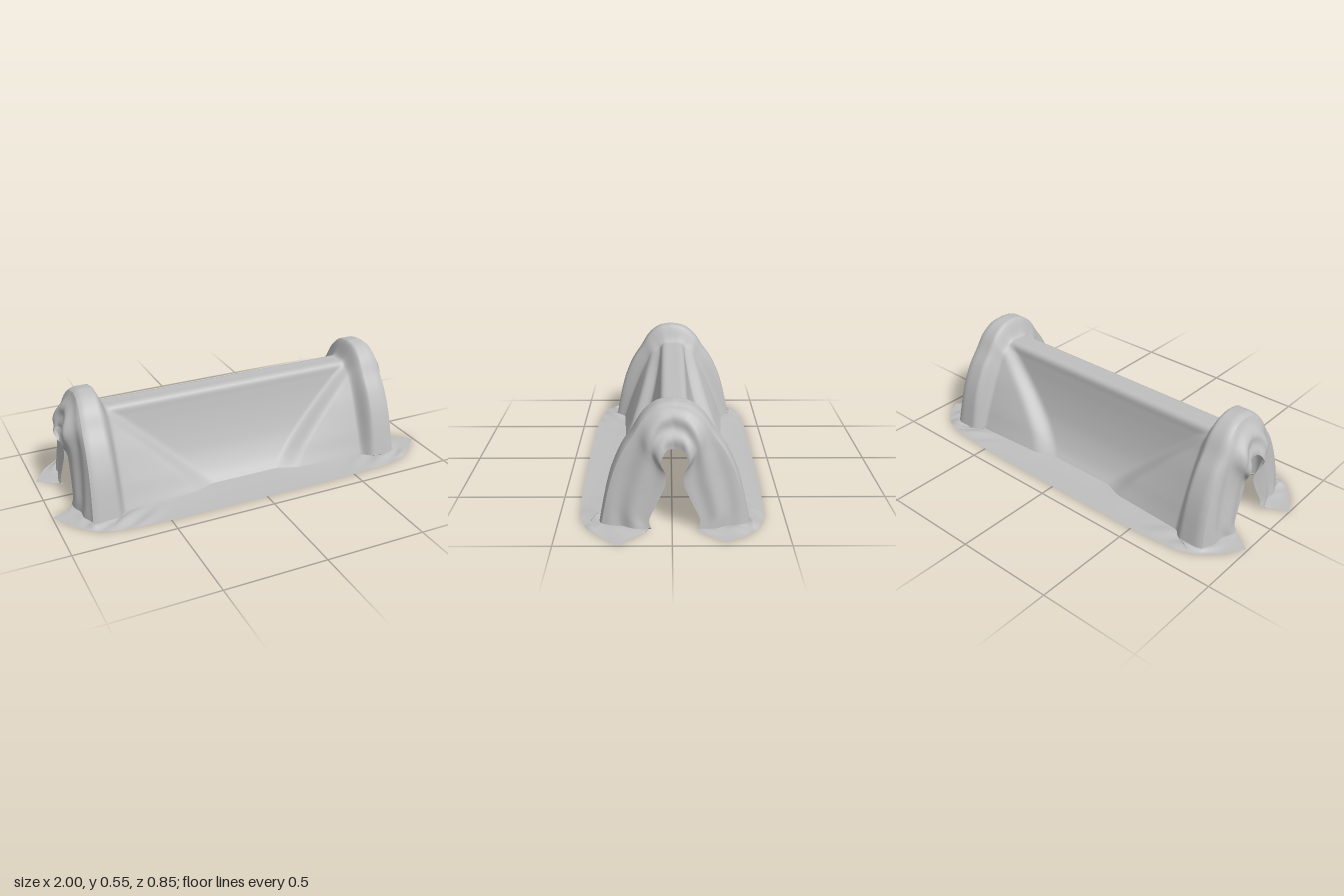
import * as THREE from 'three';

const lerp = THREE.MathUtils.lerp, smooth = THREE.MathUtils.smoothstep, clamp = THREE.MathUtils.clamp;
const spline = pts => new THREE.CatmullRomCurve3(pts.map(([z, y]) => new THREE.Vector3(0, y, z)), false, 'centripetal');
const END = 0.79;     // outer edge of the arches, measured from their midpoint
const SHIFT = -0.018; // the arches sit slightly towards -x

// Half profiles as [z, y], from the foot up to the ridge
const ridgeProfile = spline([[0.216, 0.008], [0.19, 0.035], [0.163, 0.075], [0.129, 0.145], [0.102, 0.23],
  [0.081, 0.32], [0.067, 0.4], [0.06, 0.44], [0.045, 0.454], [0, 0.456]]);
const archProfile = spline([[0.318, 0.012], [0.305, 0.08], [0.287, 0.165], [0.262, 0.25], [0.22, 0.345],
  [0.172, 0.418], [0.135, 0.48], [0.102, 0.515], [0.06, 0.541], [0, 0.552]]);
const openingProfile = spline([[0.1, 0.004], [0.11, 0.04], [0.08, 0.11], [0.04, 0.2],
  [0.038, 0.25], [0.06, 0.305], [0.042, 0.35], [0.03, 0.362], [0, 0.364]]);

// Smooth sheet from a rule f(u, v) -> [x, y, z]
function sheet(nu, nv, f) {
  const pos = [], idx = [];
  for (let i = 0; i <= nu; i++)
    for (let j = 0; j <= nv; j++) pos.push(...f(i / nu, j / nv));
  for (let i = 0; i < nu; i++)
    for (let j = 0; j < nv; j++) {
      const a = i * (nv + 1) + j, b = a + nv + 1;
      idx.push(a, b, a + 1, b, b + 1, a + 1);
    }
  const g = new THREE.BufferGeometry();
  g.setAttribute('position', new THREE.Float32BufferAttribute(pos, 3));
  g.setIndex(idx);
  g.computeVertexNormals();
  return g;
}

// Point along a polyline, equal parameter per segment
function along(pts, u) {
  const k = Math.min(Math.floor(u * (pts.length - 1)), pts.length - 2);
  const f = u * (pts.length - 1) - k;
  return [lerp(pts[k][0], pts[k + 1][0], f), lerp(pts[k][1], pts[k + 1][1], f)];
}

// Draped surface: a scooped wall under a ridge, fanning out to a narrow arch near each end;
// d runs between the arch ends, s from the back foot to the front foot
function drape(d, s) {
  const t = 1 - Math.abs(s), side = s < 0 ? -1.07 : 1, ax = Math.abs(d);
  const p = ridgeProfile.getPoint(t);
  // the fan starts at a diagonal crease from the foot up to the ridge end
  const start = 0.16 + 1.06 * p.y;
  const stretch = 0.3 * smooth(ax, start, start + 0.13) + 0.3 * clamp((ax - start) / (0.7 - start), 0, 1);
  const fan = stretch * smooth(1 - t, 0.12, 0.4);
  const w = lerp(fan, 1, smooth(ax, 0.65, 0.705));
  p.lerp(archProfile.getPoint(t), w);
  const edge = Math.max(0, (ax - 0.755) / (END - 0.755));
  const z = p.z * (1 - 0.035 * edge * edge) * side - 0.007 * (1 - w);
  const y = p.y - 0.014 * edge * edge * t;
  const flare = 0.035 * (1 - t) * smooth(ax, 0.68, END);
  return [d + SHIFT + Math.sign(d) * flare, y, z];
}

// Hanging end cloth from the arch edge in to the ragged opening
function curtain(sx, s, v) {
  const t = 1 - Math.abs(s), side = s < 0 ? -1 : 1;
  const a = drape(sx * END, s), b = openingProfile.getPoint(t);
  const bulge = sx < 0 ? 0.055 : 0.035;
  const flare = 0.025 + bulge * Math.exp(-Math.pow((b.y - 0.33) / 0.07, 2)) + 0.015 * (1 - t);
  const fold = 0.008 * Math.sin(v * 10 + t * 5 + sx) * Math.sin(v * Math.PI);
  return [a[0] + sx * (flare * Math.sin(v * Math.PI / 2) + fold),
    lerp(a[1], b.y, v),
    lerp(a[2], b.z * side - 0.011, v)];
}

// Flat skirt lying on the ground, following the foot of the cover, with a pointed corner
function skirt(sx, sz, tip, u, v) {
  const outer = [[0, 0.425], [0.25, 0.425], [0.5, 0.421], [0.74, 0.405], [0.84, 0.37], [0.92, 0.3], tip, [0.86, 0.11]];
  const o = along(outer, u);
  const i = u < 0.6 ? drape(sx * END * u / 0.6, sz) : curtain(sx, sz, (u - 0.6) / 0.4);
  const x = lerp(sx * o[0], i[0], v), z = lerp(sz * o[1], i[2], v);
  const ax = Math.abs(x);
  const crumple = smooth(ax, 0.45, 0.72) * (1 - smooth(ax, 0.82, 0.92)) * Math.sin(v * Math.PI);
  return [x, lerp(0.001, i[1], v * v) + 0.007 * crumple * (1 + Math.sin(x * 40 + z * 50)), z];
}

export function createModel() {
  const group = new THREE.Group();
  const cloth = new THREE.MeshStandardMaterial({ color: 0xbfbfbf, side: THREE.DoubleSide });
  cloth.name = 'grey cloth';
  const add = (name, geometry) => {
    const mesh = new THREE.Mesh(geometry, cloth);
    mesh.name = name;
    group.add(mesh);
  };

  add('drapedCover', sheet(200, 100, (u, v) => drape(lerp(-END, END, u), v * 2 - 1)));

  for (const sx of [-1, 1]) {
    const label = sx > 0 ? 'left' : 'right';
    add(label + 'EndCurtain', sheet(24, 100, (u, v) => curtain(sx, v * 2 - 1, u)));
    for (const sz of [-1, 1]) {
      const tip = sz > 0 ? (sx > 0 ? [0.995, 0.23] : [1, 0.17]) : (sx > 0 ? [0.965, 0.22] : [0.99, 0.19]);
      add(label + (sz > 0 ? 'Front' : 'Back') + 'Skirt',
        sheet(105, 10, (u, v) => skirt(sx, sz, tip, u, v)));
    }
  }
  return group;
}
